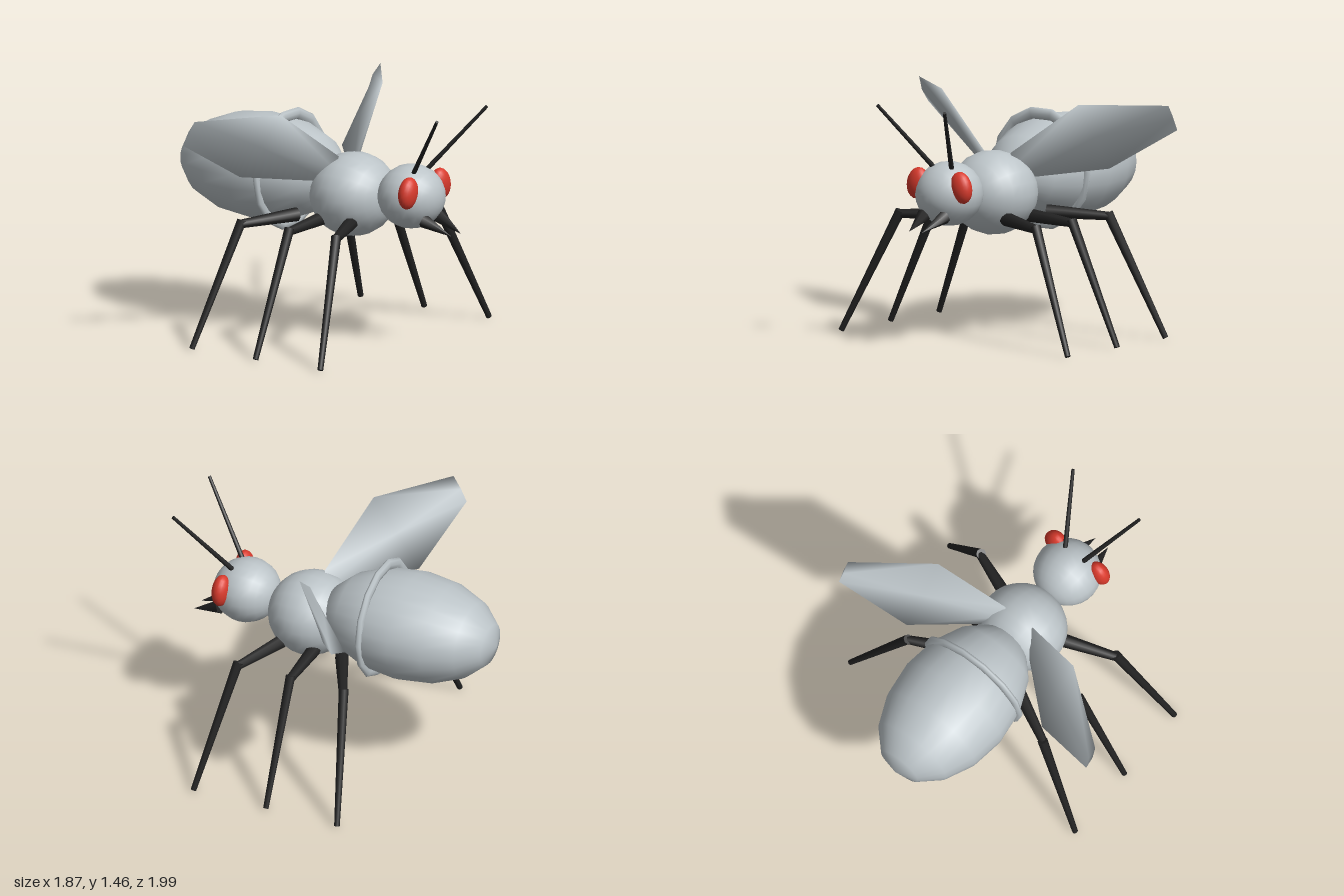
import * as THREE from 'three';

const mat = (name, color) => {
  const m = new THREE.MeshStandardMaterial({ color });
  m.name = name;
  return m;
};

export function createModel() {
  const model = new THREE.Group();
  model.name = 'insect';
  const shell = mat('grey shell', 0xbcc4c8);
  const black = mat('black limb', 0x222222);
  const red = mat('red eye', 0xd93a2c);

  const add = (name, geometry, material, parent = model) => {
    const mesh = new THREE.Mesh(geometry, material);
    mesh.name = name;
    parent.add(mesh);
    return mesh;
  };

  // Ellipsoid with its poles along the body axis
  const ellipsoid = (name, center, radii, material, w = 20, h = 14) => {
    const g = new THREE.SphereGeometry(1, w, h).rotateX(Math.PI / 2).scale(...radii);
    const mesh = add(name, g, material);
    mesh.position.set(...center);
    return mesh;
  };

  // Tapered round bar between two points
  const bar = (name, a, b, ra, rb, sides, parent) => {
    const p = new THREE.Vector3(...a), q = new THREE.Vector3(...b);
    const dir = q.clone().sub(p);
    const mesh = add(name, new THREE.CylinderGeometry(rb, ra, dir.length(), sides), black, parent);
    mesh.position.copy(p).add(q).multiplyScalar(0.5);
    mesh.quaternion.setFromUnitVectors(new THREE.Vector3(0, 1, 0), dir.normalize());
    return mesh;
  };

  // Body
  ellipsoid('head', [0, 0.906, 0.62], [0.203, 0.192, 0.2], shell);
  ellipsoid('thorax', [0, 0.862, 0.2], [0.268, 0.25, 0.257], shell);
  ellipsoid('abdomen', [0, 0.945, -0.45], [0.36, 0.316, 0.55], shell, 24, 8);

  const ring = add('abdomenRing', new THREE.TorusGeometry(0.33, 0.035, 8, 14), shell);
  ring.scale.z = 0.58;
  ring.position.set(0, 0.95, -0.26);

  // Wing lofted from three lens-shaped sections: [lead edge, trailing edge]
  const sections = [
    [[0.1, 1.1, 0.165], [0.1, 0.94, 0.11]],
    [[0.51, 1.41, 0.04], [0.51, 0.995, -0.255]],
    [[0.93, 1.405, -0.28], [0.93, 1.25, -0.365]],
  ];
  const wingGeometry = (s) => {
    const pos = [], index = [];
    const thick = new THREE.Vector3(-0.54, 0.42, -0.72).multiplyScalar(0.012);
    sections.forEach(([l, t]) => {
      const lead = new THREE.Vector3(...l), trail = new THREE.Vector3(...t);
      const mid = lead.clone().add(trail).multiplyScalar(0.5);
      for (const p of [lead, mid.clone().add(thick), trail, mid.clone().sub(thick)]) {
        pos.push(p.x * s, p.y, p.z);
      }
    });
    const quad = (a, b, c, d) => {
      if (s > 0) index.push(a, b, c, a, c, d);
      else index.push(a, c, b, a, d, c);
    };
    for (let i = 0; i < 2; i++) {
      for (let j = 0; j < 4; j++) {
        const k = (j + 1) % 4, o = i * 4;
        quad(o + j, o + 4 + j, o + 4 + k, o + k);
      }
    }
    quad(0, 1, 2, 3);
    quad(11, 10, 9, 8);
    const g = new THREE.BufferGeometry();
    g.setAttribute('position', new THREE.Float32BufferAttribute(pos, 3));
    g.setIndex(index);
    g.computeVertexNormals();
    return g;
  };

  // z of hip, knee and foot for each pair of legs
  const legs = {
    front: [0.31, 0.44, 0.57],
    middle: [0.1, 0.1, 0.1],
    rear: [-0.08, -0.245, -0.362],
  };

  // Paired parts
  for (const [side, s] of [['left', 1], ['right', -1]]) {
    add(side + 'Wing', wingGeometry(s), shell);

    const eye = ellipsoid(side + 'Eye', [s * 0.163, 0.965, 0.713], [0.069, 0.096, 0.053], red);
    eye.rotation.z = s * 0.25;

    bar(side + 'Antenna', [s * 0.065, 1.06, 0.68], [s * 0.25, 1.45, 0.985], 0.015, 0.01, 8);
    bar(side + 'Mandible', [s * 0.075, 0.79, 0.76], [s * 0.047, 0.714, 0.94], 0.043, 0.001, 6);

    for (const [pair, [hip, knee, foot]] of Object.entries(legs)) {
      const leg = new THREE.Group();
      leg.name = `${side}${pair[0].toUpperCase()}${pair.slice(1)}Leg`;
      model.add(leg);
      const k = [s * 0.515, 0.715, knee];
      bar('thigh', [s * 0.18, 0.733, hip], k, 0.042, 0.026, 8, leg);
      bar('shin', [s * 0.505, 0.735, knee], [s * 0.845, 0.008, foot], 0.03, 0.017, 8, leg);
    }
  }
  return model;
}
